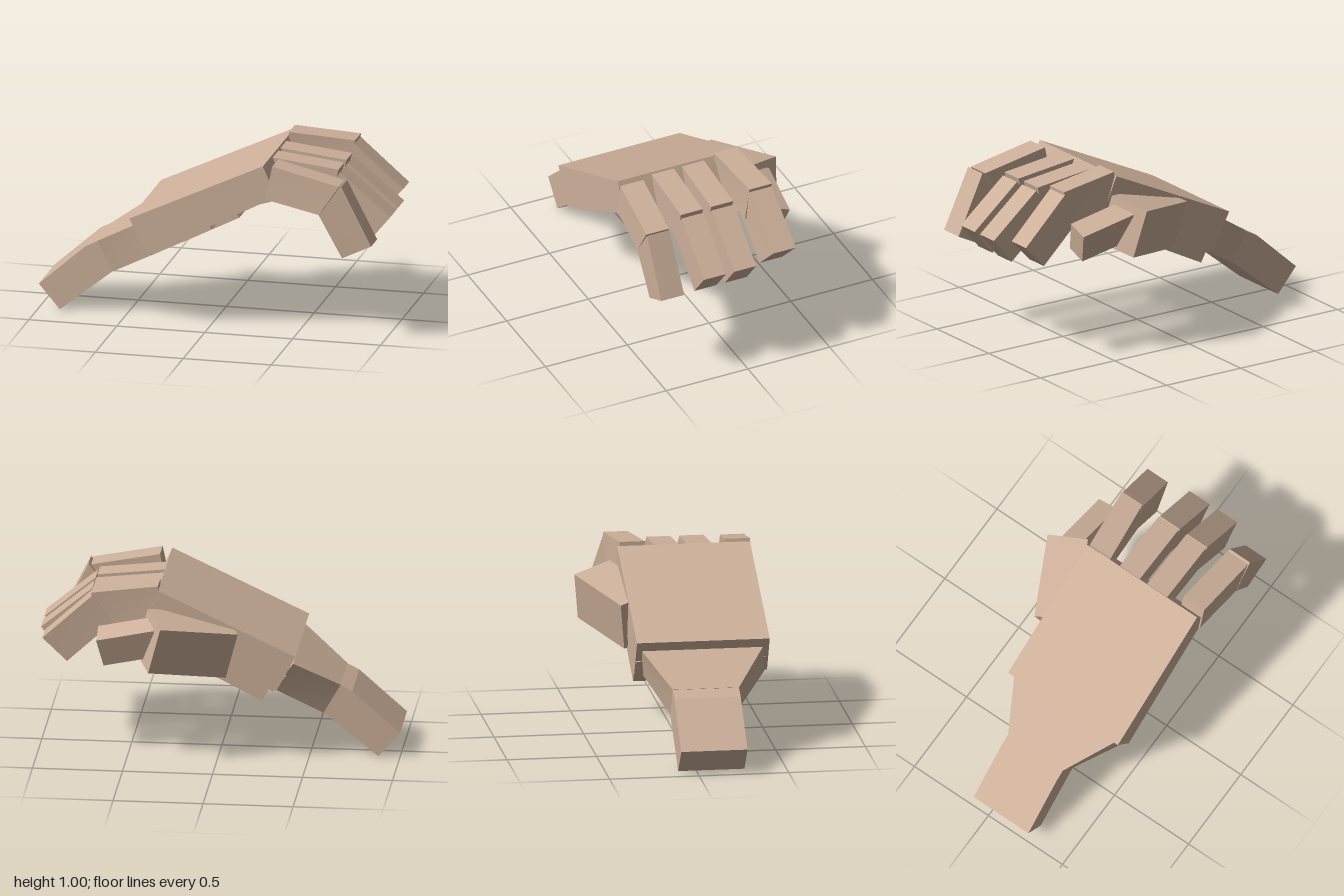
import * as THREE from 'three';

const skin = new THREE.MeshStandardMaterial({ color: 0xcdb09a });
skin.name = 'skin';

// Block from a side profile: start top, end top, end bottom, start bottom.
// Each corner is [x, y, zFront, zBack].
function block(name, profile) {
  const [startTop, endTop, endBottom, startBottom] = profile;
  const g = new THREE.BoxGeometry(1, 1, 1);
  const p = g.attributes.position;
  for (let i = 0; i < p.count; i++) {
    const end = p.getX(i) > 0, top = p.getY(i) > 0, front = p.getZ(i) > 0;
    const c = top ? (end ? endTop : startTop) : (end ? endBottom : startBottom);
    p.setXYZ(i, c[0], c[1], front ? c[2] : c[3]);
  }
  g.computeVertexNormals();
  return named(name, g);
}

// Skewed box from one corner and three edge vectors.
function skewBox(name, corner, a, b, c) {
  const [o, u, v, w] = [corner, a, b, c].map((e) => new THREE.Vector3(...e));
  const m = new THREE.Matrix4().makeBasis(u, v, w);
  if (m.determinant() < 0) m.makeBasis(v, u, w);
  m.setPosition(o);
  const g = new THREE.BoxGeometry(1, 1, 1).translate(0.5, 0.5, 0.5).applyMatrix4(m);
  g.computeVertexNormals();
  return named(name, g);
}

function named(name, geometry) {
  const mesh = new THREE.Mesh(geometry, skin);
  mesh.name = name;
  return mesh;
}

// Profile with the same depth at every corner
const flat = (points, zf, zb) => points.map(([x, y]) => [x, y, zf, zb]);

export function createModel() {
  const hand = new THREE.Group();
  hand.name = 'hand';

  // Arm, wrist and palm
  hand.add(
    block('forearm', flat([[-1, 0.14], [-0.735, 0.375], [-0.57, 0.25], [-0.88, 0]], 0.27, -0.10)),
    block('wrist', flat([[-0.735, 0.375], [-0.2, 0.65], [-0.13, 0.505], [-0.59, 0.235]], 0.27, -0.10)),
    block('wristFlare', [
      [-0.67, 0.41, 0.27, -0.10], [-0.42, 0.57, 0.44, -0.235],
      [-0.31, 0.415, 0.47, -0.22], [-0.575, 0.243, 0.27, -0.10],
    ]),
    block('palm', flat([[-0.435, 0.62], [0.325, 0.978], [0.40, 0.806], [-0.33, 0.417]], 0.476, -0.265)),
    block('palmPad', flat([[-0.38, 0.5], [0.0, 0.63], [0.03, 0.587], [-0.31, 0.412]], 0.46, -0.26)),
    block('thumbPad', flat([[-0.29, 0.43], [0.02, 0.61], [0.08, 0.525], [-0.25, 0.356]], 0.02, -0.26)),
  );

  // Thumb
  const thumb = new THREE.Group();
  thumb.name = 'thumb';
  thumb.add(
    skewBox('thumbBase', [0.36, 0.57, -0.48], [-0.07, 0.265, -0.03], [0.09, 0.05, 0.21], [-0.41, -0.08, 0.20]),
    skewBox('thumbTip', [0.62, 0.565, -0.36], [0.035, 0.165, -0.06], [0, 0.045, 0.12], [-0.32, 0.075, -0.025]),
  );
  hand.add(thumb);

  // Two straight middle fingers
  for (const [name, zf, zb] of [['ringFinger', 0.27, 0.135], ['middleFinger', 0.085, -0.05]]) {
    const finger = new THREE.Group();
    finger.name = name;
    finger.add(
      block('fingerBase', flat([[0.33, 0.967], [0.705, 0.925], [0.66, 0.74], [0.31, 0.79]], zf, zb)),
      block('fingerTip', flat([[0.715, 0.908], [1, 0.672], [0.88, 0.526], [0.60, 0.765]], zf, zb)),
    );
    hand.add(finger);
  }

  // Little finger, splayed to the front
  const little = new THREE.Group();
  little.name = 'littleFinger';
  little.add(
    block('fingerBase', [
      [0.38, 0.983, 0.485, 0.345], [0.765, 0.9, 0.51, 0.372],
      [0.65, 0.73, 0.51, 0.372], [0.34, 0.79, 0.485, 0.345],
    ]),
    block('fingerTip', [
      [0.78, 0.902, 0.513, 0.375], [0.948, 0.568, 0.505, 0.365],
      [0.78, 0.486, 0.497, 0.36], [0.65, 0.73, 0.51, 0.37],
    ]),
  );
  hand.add(little);

  // Index finger, splayed to the back
  const index = new THREE.Group();
  index.name = 'indexFinger';
  index.add(
    block('fingerBase', [
      [0.33, 1, -0.11, -0.25], [0.695, 0.965, -0.155, -0.292],
      [0.67, 0.76, -0.14, -0.285], [0.32, 0.8, -0.12, -0.265],
    ]),
    block('fingerTip', [
      [0.69, 0.948, -0.152, -0.292], [0.965, 0.698, -0.172, -0.31],
      [0.83, 0.56, -0.152, -0.29], [0.58, 0.79, -0.14, -0.28],
    ]),
  );
  hand.add(index);

  return hand;
}
